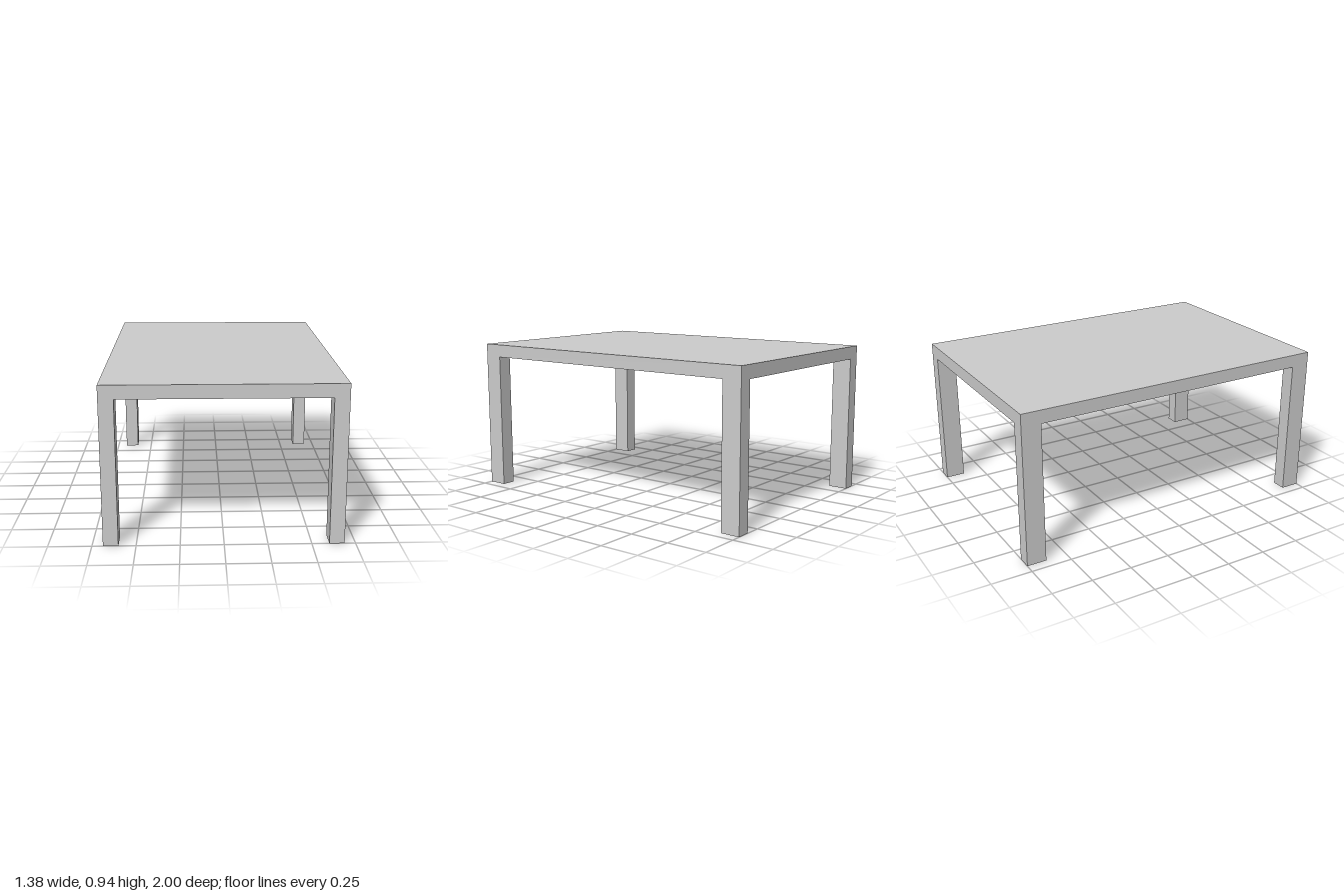
import * as THREE from 'three';

const WIDTH = 1.375, DEPTH = 2, HEIGHT = 0.937, THICKNESS = 0.08;
const LEG_X = 0.087, LEG_Z = 0.12;

export function createModel() {
  const table = new THREE.Group();
  table.name = 'table';
  const material = new THREE.MeshStandardMaterial({ color: 0xcccccc, flatShading: true });

  // Box standing on height y
  const addBox = (name, w, h, d, x, y, z) => {
    const mesh = new THREE.Mesh(new THREE.BoxGeometry(w, h, d), material);
    mesh.name = name;
    mesh.position.set(x, y + h / 2, z);
    table.add(mesh);
  };

  // Slab top
  const legHeight = HEIGHT - THICKNESS;
  addBox('tabletop', WIDTH, THICKNESS, DEPTH, 0, legHeight, 0);

  // Four legs flush with the corners
  for (const [side, sx] of [['Left', 1], ['Right', -1]]) {
    for (const [end, sz] of [['front', 1], ['back', -1]]) {
      addBox(`${end}${side}Leg`, LEG_X, legHeight, LEG_Z,
        sx * (WIDTH - LEG_X) / 2, 0, sz * (DEPTH - LEG_Z) / 2);
    }
  }
  return table;
}
